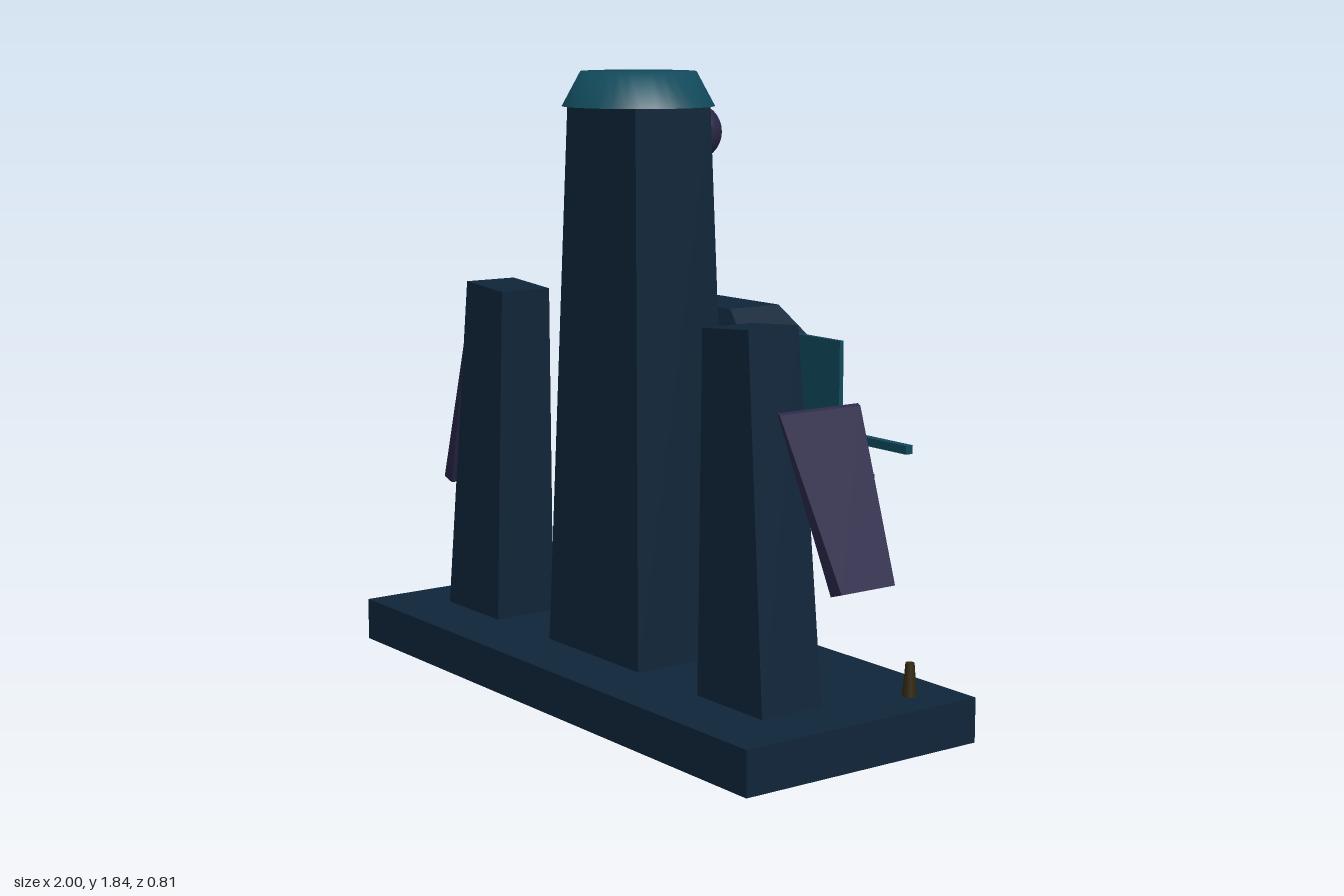
import * as THREE from 'three';

const flat = (name, color) => {
  const m = new THREE.MeshStandardMaterial({ color });
  m.name = name;
  return m;
};

export function createModel() {
  const group = new THREE.Group();
  const navy = flat('navy', 0x0f2539);
  const teal = flat('teal', 0x11495a);
  const purple = flat('purple', 0x2a2748);
  const brown = flat('brown', 0x33270f);

  const add = (name, geometry, material, x = 0, y = 0, z = 0) => {
    const mesh = new THREE.Mesh(geometry, material);
    mesh.name = name;
    mesh.position.set(x, y, z);
    group.add(mesh);
    return mesh;
  };

  // Box whose lower and upper ends have their own x, y and z ranges (y runs from low x to high x)
  const taper = (name, material, lo, hi) => {
    const g = new THREE.BoxGeometry(1, 1, 1);
    const p = g.attributes.position;
    for (let i = 0; i < p.count; i++) {
      const end = p.getY(i) < 0 ? lo : hi;
      const a = p.getX(i) < 0 ? 0 : 1;
      const b = p.getZ(i) < 0 ? 0 : 1;
      p.setXYZ(i, end.x[a], end.y[a], end.z[b]);
    }
    g.computeVertexNormals();
    return add(name, g, material);
  };
  const flip = ({ x, y, z }) => ({ x: [-x[1], -x[0]], y: [y[1], y[0]], z });
  const taperPair = (name, material, lo, hi) => {
    taper('left' + name, material, lo, hi);
    taper('right' + name, material, flip(lo), flip(hi));
  };
  const box = (name, material, w, h, d, x, y, z) =>
    add(name, new THREE.BoxGeometry(w, h, d), material, x, y, z);

  // Base and central tower
  box('base', navy, 1.97, 0.13, 0.81, 0, 0.065, 0);
  taper('centralTower', navy,
    { x: [-0.23, 0.23], y: [0.13, 0.13], z: [-0.13, 0.205] },
    { x: [-0.17, 0.17], y: [1.745, 1.745], z: [-0.095, 0.17] });

  // Smoothly shaded cap on the tower, with its underside
  const profile = [[0.222, 1.74], [0.168, 1.84], [0, 1.84]].map(([r, y]) => new THREE.Vector2(r, y));
  add('towerCap', new THREE.LatheGeometry(profile, 32), teal, 0, 0, 0.037);
  const underside = add('capUnderside', new THREE.CircleGeometry(0.222, 32), teal, 0, 1.74, 0.037);
  underside.rotation.x = Math.PI / 2;
  add('rearSphere', new THREE.SphereGeometry(0.085, 24, 16), purple, 0, 1.66, -0.162);

  // Flanking towers, leaning inwards
  taperPair('SideTower', navy,
    { x: [0.515, 0.803], y: [0.13, 0.13], z: [0, 0.208] },
    { x: [0.505, 0.707], y: [1.16, 1.175], z: [0.015, 0.188] });

  // Slanted outer fins
  taperPair('Fin', purple,
    { x: [0.956, 1.0], y: [0.484, 0.498], z: [-0.085, 0.102] },
    { x: [0.785, 0.796], y: [0.958, 0.953], z: [-0.132, 0.15] });

  // Row of five rear panes with narrow gaps
  for (let i = -2; i <= 2; i++) {
    box('rearPane', teal, 0.252, 0.37, 0.014, i * 0.265, 0.925, -0.183);
  }

  // Rear canopy, ledge and rail
  taper('canopy', navy,
    { x: [-0.345, 0.345], y: [1.035, 1.035], z: [-0.372, -0.105] },
    { x: [-0.2, 0.2], y: [1.155, 1.155], z: [-0.328, -0.147] });
  box('ledge', navy, 1.13, 0.032, 0.226, 0, 0.68, -0.278);
  box('rail', teal, 1.41, 0.025, 0.025, 0, 0.787, -0.397);

  // Bollards at the rear corners
  for (const s of [-1, 1]) {
    add('bollard', new THREE.CylinderGeometry(0.013, 0.021, 0.096, 12), brown, s * 0.865, 0.177, -0.267);
  }
  return group;
}
